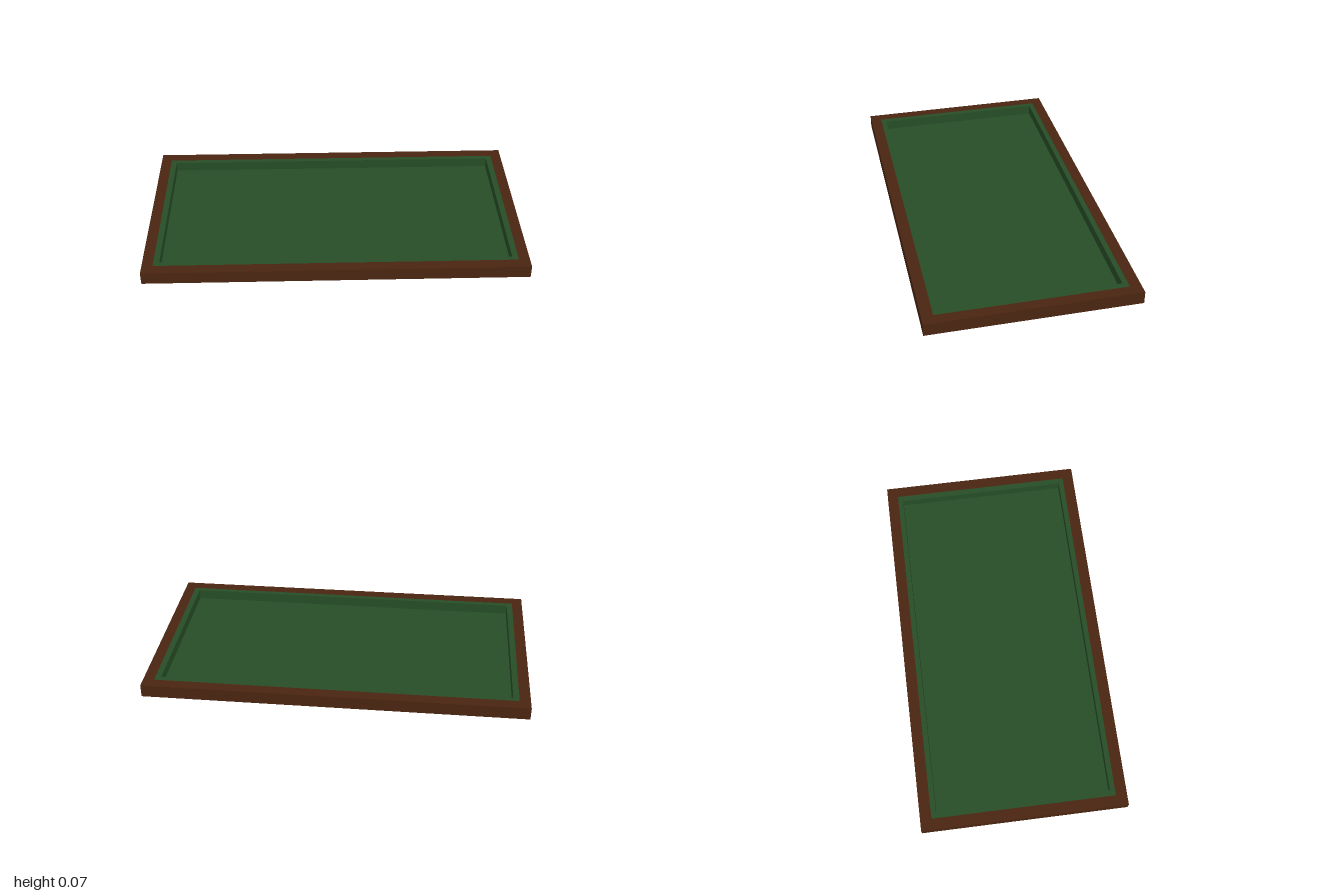
import * as THREE from 'three';

// Rectangular ring lying flat: outer and inner half sizes, from y0 to y1
function ring(ox, oz, ix, iz, y0, y1) {
  const rect = (path, x, z) => {
    path.moveTo(-x, -z);
    path.lineTo(x, -z);
    path.lineTo(x, z);
    path.lineTo(-x, z);
    path.closePath();
    return path;
  };
  const shape = rect(new THREE.Shape(), ox, oz);
  shape.holes.push(rect(new THREE.Path(), ix, iz));
  const geo = new THREE.ExtrudeGeometry(shape, { depth: y1 - y0, bevelEnabled: false });
  return geo.rotateX(-Math.PI / 2).translate(0, y0, 0);
}

function slab(x, z, y0, y1) {
  return new THREE.BoxGeometry(2 * x, y1 - y0, 2 * z).translate(0, (y0 + y1) / 2, 0);
}

export function createModel() {
  const wood = new THREE.MeshStandardMaterial({ name: 'darkWood', color: 0x4a2511 });
  const felt = new THREE.MeshStandardMaterial({ name: 'greenFelt', color: 0x264d26 });

  const tray = new THREE.Group();
  tray.name = 'tray';
  const add = (name, geo, mat) => {
    const mesh = new THREE.Mesh(geo, mat);
    mesh.name = name;
    tray.add(mesh);
  };

  const top = 0.068, baseTop = 0.008, floorTop = 0.014;
  // Wooden base and surrounding frame
  add('base', slab(1, 0.543, 0, baseTop), wood);
  add('frame', ring(1, 0.543, 0.943, 0.484, baseTop, top), wood);
  // Felt floor and the padded lining along the inside of the frame
  add('feltFloor', slab(0.943, 0.484, baseTop, floorTop), felt);
  add('feltLining', ring(0.943, 0.484, 0.912, 0.457, floorTop, top), felt);
  return tray;
}
